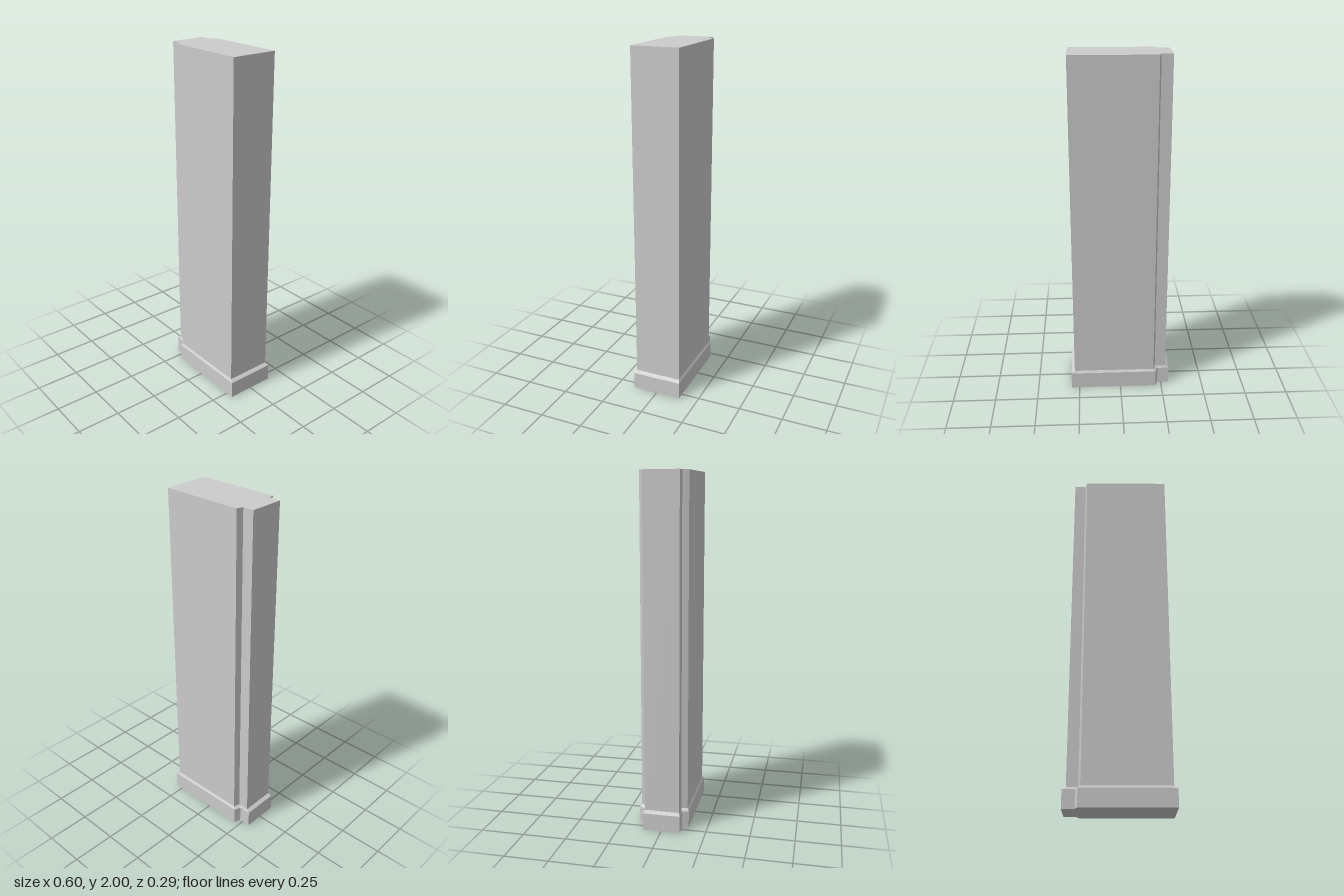
import * as THREE from 'three';

// Closed stepped outline as [x, z], from the front half mirrored to the back
function outline(half) {
  return [...half, ...half.map(([x, z]) => [x, -z]).reverse()];
}

const bodyOutline = outline([[-0.277, 0.1], [-0.213, 0.1], [-0.202, 0.135], [0.277, 0.135]]);
const baseOutline = outline([[-0.298, 0.107], [-0.229, 0.107], [-0.215, 0.144], [0.297, 0.144]]);

// Skin a stack of { y, points } rings, capping the ends that stay visible
function loft(name, rings, { capBottom = false, capTop = false }) {
  const positions = [];
  const vertex = (ring, i) => {
    const [x, z] = ring.points[i % ring.points.length];
    return [x, ring.y, z];
  };
  for (let r = 0; r < rings.length - 1; r++) {
    const low = rings[r], high = rings[r + 1];
    for (let i = 0; i < low.points.length; i++) {
      const a = vertex(low, i), b = vertex(low, i + 1);
      const c = vertex(high, i + 1), d = vertex(high, i);
      positions.push(...a, ...b, ...c, ...a, ...c, ...d);
    }
  }
  const cap = (ring, up) => {
    const flat = ring.points.map(([x, z]) => new THREE.Vector2(x, -z));
    for (const [a, b, c] of THREE.ShapeUtils.triangulateShape(flat, [])) {
      for (const i of up ? [a, b, c] : [a, c, b]) positions.push(...vertex(ring, i));
    }
  };
  if (capBottom) cap(rings[0], false);
  if (capTop) cap(rings[rings.length - 1], true);

  const geometry = new THREE.BufferGeometry();
  geometry.setAttribute('position', new THREE.Float32BufferAttribute(positions, 3));
  geometry.computeVertexNormals();
  const material = new THREE.MeshStandardMaterial({ color: 0xcccccc, flatShading: true });
  const mesh = new THREE.Mesh(geometry, material);
  mesh.name = name;
  return mesh;
}

export function createModel() {
  const model = new THREE.Group();
  model.name = 'steppedColumn';

  // Wide foot with a sloped shoulder up to the body
  model.add(loft('basePlate', [
    { y: 0, points: baseOutline },
    { y: 0.1, points: baseOutline },
    { y: 0.113, points: bodyOutline },
  ], { capBottom: true }));

  // Tall straight body with the narrow spine on its right
  model.add(loft('body', [
    { y: 0.113, points: bodyOutline },
    { y: 2, points: bodyOutline },
  ], { capTop: true }));

  return model;
}
